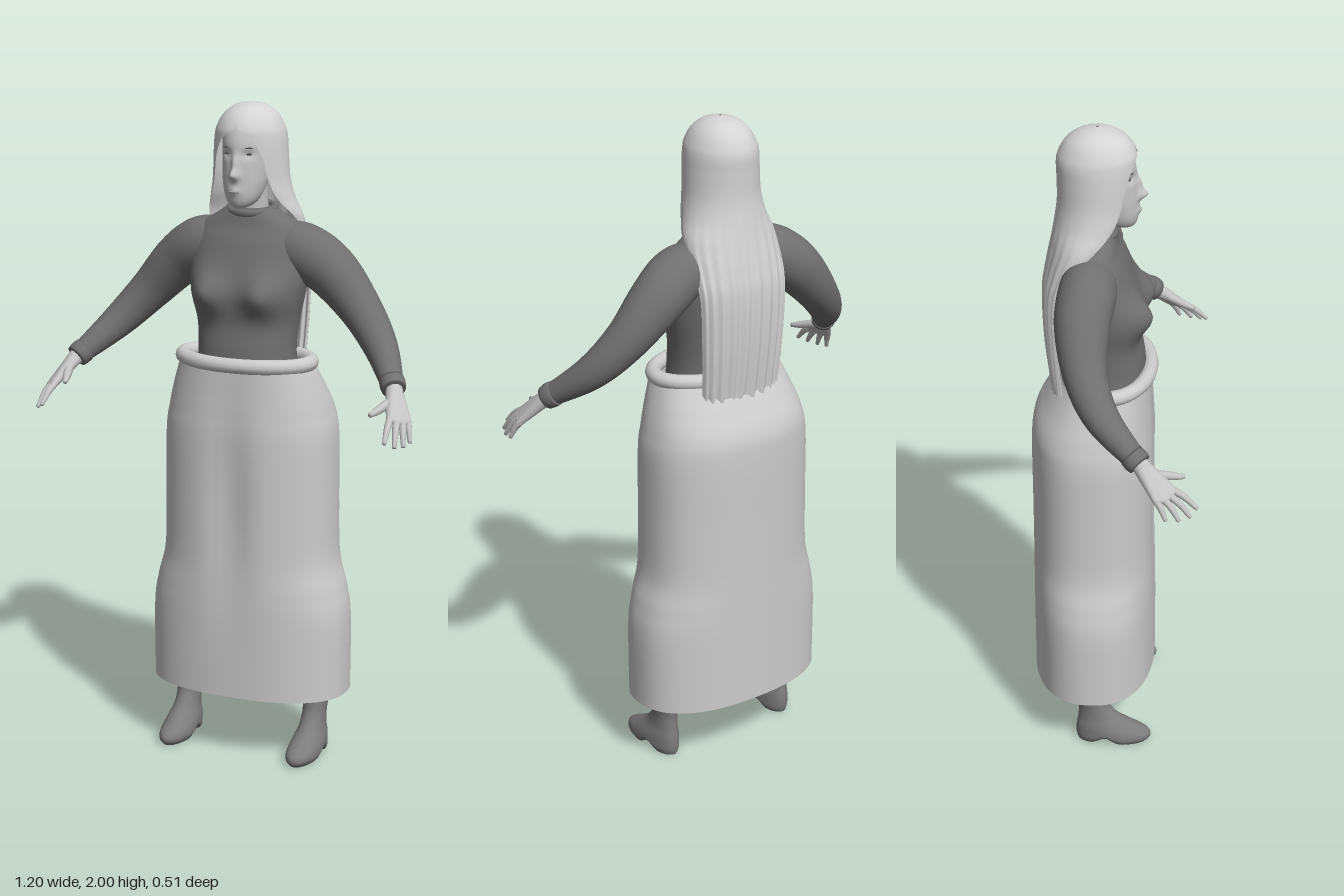
import * as THREE from 'three';
import { mergeVertices } from 'three/addons/utils/BufferGeometryUtils.js';
import { ConvexGeometry } from 'three/addons/geometries/ConvexGeometry.js';

const V = (x, y, z) => new THREE.Vector3(x, y, z);
const bell = (v, c, w) => Math.exp(-(((v - c) / w) ** 2));

function material(name, color, side = THREE.FrontSide) {
  const m = new THREE.MeshStandardMaterial({ color, side });
  m.name = name;
  return m;
}

// Joins rings of points into one smooth surface
function surface(rings, { wrap = true, cap = true } = {}) {
  if (cap) {
    const point = ring => {
      const c = ring.reduce((s, p) => s.add(p), V(0, 0, 0)).divideScalar(ring.length);
      return ring.map(() => c.clone());
    };
    rings = [point(rings[0]), ...rings, point(rings[rings.length - 1])];
  }
  const n = rings[0].length, index = [];
  for (let i = 0; i < rings.length - 1; i++) {
    for (let j = 0; j < (wrap ? n : n - 1); j++) {
      const k = (j + 1) % n, a = i * n, b = a + n;
      index.push(a + j, a + k, b + k, a + j, b + k, b + j);
    }
  }
  const g = new THREE.BufferGeometry().setFromPoints(rings.flat());
  g.setIndex(index);
  g.computeVertexNormals();
  return g;
}

// Level sections [y, half width, front z, back z, front gap angle], from low to high
function loft(sections, { n = 48, steps = 40, pow = 1, open = false, cap = true, deform } = {}) {
  const front = new THREE.CatmullRomCurve3(sections.map(s => V(s[1], s[0], s[2])), false, 'catmullrom');
  const back = new THREE.CatmullRomCurve3(sections.map(s => V(s[4] ?? 0, s[0], s[3])), false, 'catmullrom');
  const bend = v => Math.sign(v) * Math.abs(v) ** pow;
  const rings = [];
  for (let i = 0; i <= steps; i++) {
    const f = front.getPoint(i / steps), b = back.getPoint(i / steps);
    const gap = open ? Math.max(0, b.x) : 0, ring = [];
    for (let j = 0; j < (open ? n + 1 : n); j++) {
      const a = gap + (j / n) * (Math.PI * 2 - 2 * gap);
      const p = V(f.x * bend(Math.sin(a)), f.y, (f.z + b.z) / 2 + ((f.z - b.z) / 2) * bend(Math.cos(a)));
      if (deform) deform(p, a);
      ring.push(p);
    }
    rings.push(ring);
  }
  return surface(rings, { wrap: !open, cap });
}

// Round limb through points [x, y, z, radius]
function limb(points, n = 20, steps = 24) {
  const path = new THREE.CatmullRomCurve3(points.map(p => V(p[0], p[1], p[2])), false, 'catmullrom');
  const size = new THREE.CatmullRomCurve3(points.map(p => V(p[3], 0, 0)), false, 'catmullrom');
  const rings = [];
  for (let i = 0; i <= steps; i++) {
    const t = i / steps, c = path.getPoint(t), r = size.getPoint(t).x, T = path.getTangent(t);
    const N = V(0, 0, 1).cross(T).normalize(), B = T.clone().cross(N);
    rings.push(Array.from({ length: n }, (_, j) => {
      const a = (j / n) * Math.PI * 2;
      return c.clone().addScaledVector(N, r * Math.cos(a)).addScaledVector(B, r * Math.sin(a));
    }));
  }
  return surface(rings);
}

export function createModel() {
  const model = new THREE.Group();
  const sweater = material('dark grey knit', 0x707070);
  const cloth = material('light grey cloth', 0xcccccc, THREE.DoubleSide);
  const hairMat = material('pale hair', 0xd4d4d4, THREE.DoubleSide);
  const skin = material('skin', 0xc4c4c4);
  const leather = material('grey leather', 0x7c7c7c);
  const dark = material('dark eye', 0x555555);
  const lip = material('lip', 0xa0a0a0);
  const add = (name, geometry, mat, parent = model) => {
    const mesh = new THREE.Mesh(geometry, mat);
    mesh.name = name;
    parent.add(mesh);
    return mesh;
  };

  // Torso with bust
  add('torso', loft([
    [1.05, 0.16, 0.07, -0.17], [1.18, 0.155, 0.083, -0.155], [1.27, 0.15, 0.078, -0.15],
    [1.35, 0.157, 0.068, -0.155], [1.44, 0.175, 0.074, -0.165], [1.52, 0.188, 0.05, -0.17],
    [1.59, 0.18, 0.025, -0.165], [1.635, 0.158, 0.003, -0.15], [1.665, 0.11, -0.005, -0.13],
    [1.69, 0.072, -0.012, -0.12]],
  { n: 72, steps: 60, pow: 0.9, deform: p => {
    if (p.z > -0.04) p.z += 0.042 * bell(Math.abs(p.x), 0.095, 0.055) * bell(p.y, 1.445, 0.06);
  } }), sweater);
  const collar = add('collar', new THREE.TorusGeometry(0.069, 0.012, 10, 40), sweater);
  collar.position.set(0, 1.683, -0.068);
  collar.rotation.x = Math.PI / 2 + 0.15;
  collar.scale.y = 0.85;

  // Skirt, with a shallow dip between the legs, and its rolled waistband
  add('skirt', loft([
    [0.2, 0.315, 0.115, -0.26], [0.43, 0.315, 0.115, -0.26], [0.53, 0.3, 0.114, -0.26],
    [0.63, 0.275, 0.113, -0.26], [0.8, 0.27, 0.113, -0.26], [1.0, 0.268, 0.112, -0.26],
    [1.08, 0.256, 0.108, -0.252], [1.15, 0.236, 0.103, -0.215], [1.235, 0.205, 0.098, -0.16]],
  { n: 80, steps: 60, pow: 0.85, cap: false, deform: p => {
    if (p.z > 0) p.z -= 0.02 * bell(p.x, 0, 0.06) * bell(p.y, 0.8, 0.3);
  } }), cloth);
  const band = new THREE.CatmullRomCurve3(Array.from({ length: 32 }, (_, i) => {
    const a = (i / 32) * Math.PI * 2;
    return V(0.203 * Math.sin(a), 1.236, -0.03 + 0.124 * Math.cos(a));
  }), true);
  add('waistband', new THREE.TubeGeometry(band, 80, 0.023, 12, true), cloth);

  // Head, with nose, eye sockets, lips and chin shaped from the sections
  add('head', loft([
    [1.695, 0.014, 0.034, 0], [1.706, 0.035, 0.048, -0.04], [1.73, 0.052, 0.056, -0.07],
    [1.77, 0.064, 0.057, -0.1], [1.81, 0.07, 0.055, -0.13], [1.85, 0.074, 0.051, -0.15],
    [1.89, 0.076, 0.047, -0.15], [1.93, 0.075, 0.03, -0.145], [1.96, 0.06, 0, -0.12],
    [1.975, 0.02, -0.04, -0.08]],
  { n: 96, steps: 80, deform: p => {
    if (p.z < 0) return;
    const x = Math.abs(p.x), y = p.y;
    p.z += 0.025 * bell(x, 0, 0.011) * bell(y, 1.797, 0.016) + 0.012 * bell(x, 0, 0.01) * bell(y, 1.83, 0.025)
      + 0.006 * bell(x, 0.011, 0.008) * bell(y, 1.793, 0.01)
      + 0.006 * bell(x, 0, 0.018) * bell(y, 1.748, 0.012)
      - 0.008 * bell(x, 0.033, 0.016) * bell(y, 1.855, 0.012);
  } }), skin);
  add('neck', limb([[0, 1.58, -0.08, 0.058], [0, 1.66, -0.068, 0.052], [0, 1.78, -0.05, 0.05]]), skin);
  const detail = (name, mat, pos, size) => {
    const mesh = add(name, new THREE.SphereGeometry(1, 16, 10), mat);
    mesh.position.set(...pos);
    mesh.scale.set(...size);
    return mesh;
  };
  for (const s of [-1, 1]) {
    detail('eye', dark, [s * 0.033, 1.856, 0.031], [0.011, 0.004, 0.005]);
    detail('eyebrow', dark, [s * 0.034, 1.874, 0.036], [0.015, 0.0022, 0.004]).rotation.y = s * 0.4;
  }
  detail('lips', lip, [0, 1.747, 0.06], [0.018, 0.004, 0.005]);

  // Long hair, open around the face and hanging down the back in strands
  add('hair', loft([
    [1.18, 0.135, -0.115, -0.195, 1.57], [1.35, 0.145, -0.115, -0.215, 1.57],
    [1.5, 0.15, -0.11, -0.22, 1.57], [1.58, 0.152, -0.07, -0.21, 1.45],
    [1.66, 0.148, -0.005, -0.195, 1.25], [1.72, 0.128, 0.035, -0.185, 1],
    [1.78, 0.115, 0.047, -0.177, 0.85], [1.85, 0.11, 0.053, -0.177, 0.72],
    [1.9, 0.106, 0.054, -0.178, 0.45], [1.93, 0.098, 0.05, -0.17, 0.05],
    [1.965, 0.078, 0.028, -0.148, 0], [1.99, 0.045, -0.01, -0.11, 0], [2, 0.004, -0.056, -0.064, 0]],
  { n: 96, steps: 96, open: true, cap: false, deform: (p, a) => {
    const loose = THREE.MathUtils.clamp((1.75 - p.y) / 0.3, 0, 1);
    p.z += loose * 0.004 * Math.cos(a * 22);
    p.y += 0.012 * Math.sin(a * 17) * bell(p.y, 1.18, 0.04);
  } }), hairMat);

  for (const s of [-1, 1]) {
    const side = s > 0 ? 'left' : 'right';
    const mirror = pts => pts.map(([x, ...rest]) => [s * x, ...rest]);

    // Sleeve and cuff
    const arm = new THREE.Group();
    arm.name = side + 'Arm';
    model.add(arm);
    add('sleeve', limb(mirror([
      [0.08, 1.58, -0.08, 0.07], [0.165, 1.562, -0.08, 0.084], [0.25, 1.505, -0.09, 0.08],
      [0.345, 1.405, -0.077, 0.064], [0.43, 1.31, -0.025, 0.051], [0.515, 1.215, 0.085, 0.031]]), 28, 40),
    sweater, arm);
    add('cuff', limb(mirror([[0.499, 1.234, 0.062, 0.037], [0.508, 1.224, 0.075, 0.038],
      [0.516, 1.214, 0.087, 0.035]]), 24, 6), sweater, arm);

    // Hand: palm hull, four fingers and a thumb
    const knuckles = [[0.54, 1.15, 0.18], [0.557, 1.142, 0.172], [0.57, 1.137, 0.157], [0.577, 1.137, 0.135]];
    const tips = [[0.55, 1.095, 0.25], [0.574, 1.082, 0.232], [0.589, 1.078, 0.2], [0.596, 1.082, 0.163]];
    const palm = [];
    for (const [x, y, z, r] of mirror([[0.515, 1.217, 0.085, 0.024], [0.522, 1.186, 0.13, 0.015],
      ...knuckles.map(k => [...k, 0.011])])) {
      const ball = new THREE.IcosahedronGeometry(r, 2).getAttribute('position');
      for (let i = 0; i < ball.count; i++) palm.push(new THREE.Vector3().fromBufferAttribute(ball, i).add(V(x, y, z)));
    }
    const hull = new ConvexGeometry(palm);
    hull.deleteAttribute('normal');
    const palmShape = mergeVertices(hull);
    palmShape.computeVertexNormals();
    add('palm', palmShape, skin, arm);
    knuckles.forEach((k, i) => {
      const mid = k.map((v, c) => (v + tips[i][c]) / 2 + (c === 1 ? 0.006 : 0));
      add('finger', limb(mirror([[...k, 0.011], [...mid, 0.0095], [...tips[i], 0.006]]), 10, 10), skin, arm);
    });
    add('thumb', limb(mirror([[0.521, 1.188, 0.125, 0.014], [0.503, 1.172, 0.175, 0.012],
      [0.49, 1.163, 0.21, 0.007]]), 10, 10), skin, arm);

    // Leg and heeled ankle boot
    add(side + 'Leg', limb(mirror([[0.215, 0.16, -0.076, 0.036], [0.21, 0.35, -0.08, 0.05],
      [0.185, 0.6, -0.075, 0.055], [0.12, 1.1, -0.06, 0.075]])), skin);
    const boot = add(side + 'Boot', loft([
      [0, 0.042, 0.1, -0.115], [0.015, 0.05, 0.112, -0.12], [0.035, 0.05, 0.105, -0.122],
      [0.06, 0.046, 0.06, -0.12], [0.09, 0.038, 0.012, -0.115], [0.13, 0.036, -0.02, -0.113],
      [0.17, 0.04, -0.03, -0.12], [0.19, 0.042, -0.03, -0.122]],
    { n: 40, steps: 35, deform: p => {
      p.y += 0.024 * bell(p.z, -0.03, 0.028) * Math.max(0, 1 - p.y / 0.06);
    } }), leather);
    boot.position.x = s * 0.215;
  }
  return model;
}
